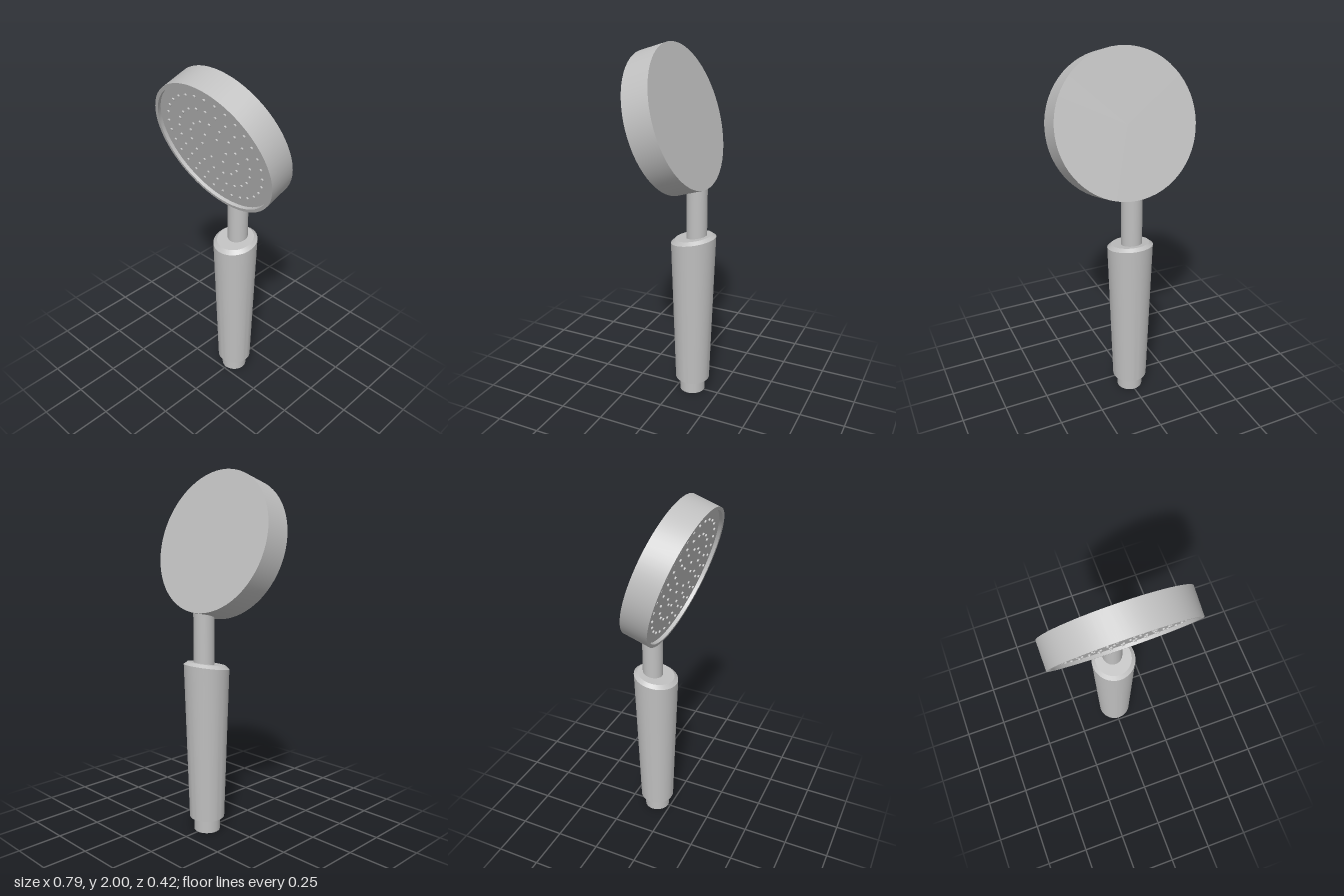
import * as THREE from 'three';
import { toCreasedNormals, mergeGeometries } from 'three/addons/utils/BufferGeometryUtils.js';

const SEGMENTS = 64;
const HANDLE_Z = -0.088;

// Revolve a profile (bottom to top), optionally adjust its vertices, keep edges sharp
function revolve(profile, adjust) {
  const geo = new THREE.LatheGeometry(profile.map(([r, y]) => new THREE.Vector2(r, y)), SEGMENTS);
  if (adjust) adjust(geo.attributes.position);
  return toCreasedNormals(geo, 0.4);
}

export function createModel() {
  const model = new THREE.Group();
  model.name = 'handShower';
  const metal = new THREE.MeshStandardMaterial({ color: 0xc0c0c0 });
  metal.name = 'satin grey';

  const add = (name, geo, parent = model) => {
    const mesh = new THREE.Mesh(geo, metal);
    mesh.name = name;
    parent.add(mesh);
    return mesh;
  };

  // Hose connector under the handle
  const connector = new THREE.CylinderGeometry(0.073, 0.073, 0.1, SEGMENTS);
  add('hoseConnector', connector).position.set(0, 0.05, HANDLE_Z);

  // Tapered grip with a chamfered top, cut at a slant rising to the back
  const grip = revolve(
    [[0, 0.08], [0.098, 0.08], [0.125, 0.948], [0.104, 0.966], [0, 0.966]],
    (pos) => {
      for (let i = 0; i < pos.count; i++) {
        if (pos.getY(i) > 0.5) pos.setY(i, pos.getY(i) - 0.18 * pos.getZ(i));
      }
    },
  );
  add('grip', grip).position.z = HANDLE_Z;

  // Neck joining the grip to the head
  const neck = new THREE.CylinderGeometry(0.057, 0.057, 0.34, SEGMENTS);
  add('neck', neck).position.set(0, 1.1, -0.107);

  // Tilted head, its front pointing along local +z
  const head = new THREE.Group();
  head.name = 'head';
  head.position.set(0, 1.603, 0.018);
  head.rotation.x = 0.31;
  model.add(head);

  // Disc with a raised rim around the recessed spray face
  const half = 0.077, floor = half - 0.02, R = 0.393, rim = 0.374;
  const disc = revolve([[0, -half], [R, -half], [R, half], [rim, half], [rim, floor], [0, floor]]);
  disc.rotateX(Math.PI / 2);
  add('disc', disc, head);

  // Concentric rings of spray nozzles: [radius, count]
  const nozzles = [];
  for (const [radius, count] of [[0.083, 6], [0.16, 15], [0.2375, 23], [0.315, 30]]) {
    for (let i = 0; i < count; i++) {
      const a = Math.PI - (i / count) * Math.PI * 2;
      const nozzle = new THREE.CylinderGeometry(0.008, 0.008, 0.012, 12);
      nozzle.rotateX(Math.PI / 2);
      nozzle.translate(Math.cos(a) * radius, Math.sin(a) * radius, floor + 0.002);
      nozzles.push(nozzle);
    }
  }
  add('nozzles', mergeGeometries(nozzles), head);

  return model;
}
